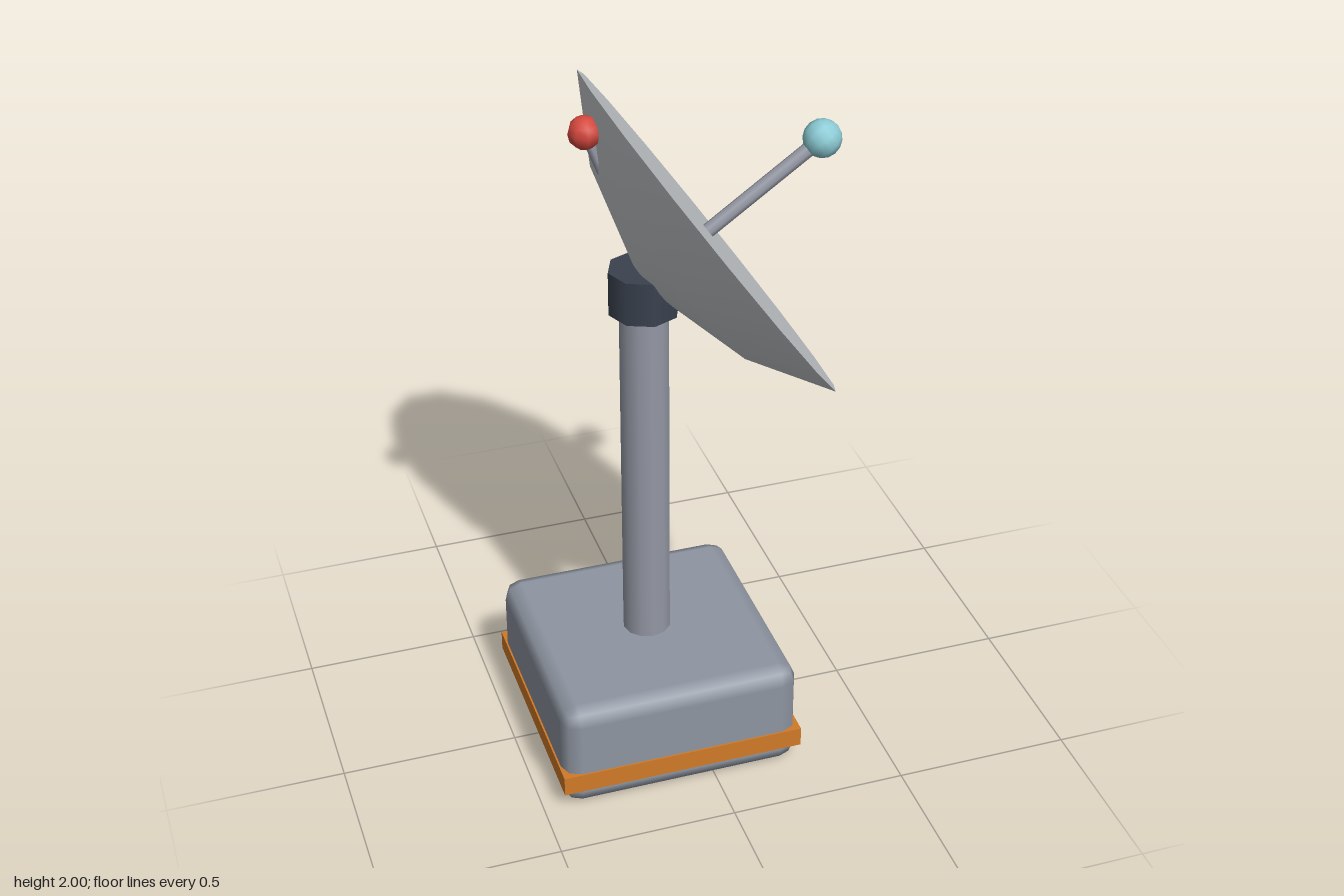
import * as THREE from 'three';
import { RoundedBoxGeometry } from 'three/addons/geometries/RoundedBoxGeometry.js';

const material = (name, color) => {
  const m = new THREE.MeshStandardMaterial({ color });
  m.name = name;
  return m;
};

export function createModel() {
  const root = new THREE.Group();
  root.name = 'satelliteDish';

  const casing = material('casing grey', 0x8e95a1);
  const metal = material('metal grey', 0x9498a4);
  const dark = material('dark slate', 0x3a424f);
  const pale = material('pale grey', 0xc4c8cb);
  const orange = material('orange', 0xd07a28);
  const teal = material('pale teal', 0x8ccbd5);
  const red = material('red', 0xd4483e);

  const add = (parent, name, geometry, mat, x = 0, y = 0, z = 0) => {
    const mesh = new THREE.Mesh(geometry, mat);
    mesh.name = name;
    mesh.position.set(x, y, z);
    parent.add(mesh);
    return mesh;
  };

  // Base, painted band, mast and collar share one vertical axis
  const axisX = -0.097;
  add(root, 'base', new RoundedBoxGeometry(0.686, 0.325, 0.686, 1, 0.05), casing, axisX, 0.1625);
  add(root, 'baseBand', new THREE.BoxGeometry(0.696, 0.058, 0.696), orange, axisX, 0.087);
  add(root, 'mast', new THREE.CylinderGeometry(0.068, 0.068, 1.1, 12), metal, axisX, 0.86);
  add(root, 'collar', new THREE.CylinderGeometry(0.097, 0.097, 0.125, 8), dark, axisX, 1.418);

  // Tilted dish: local +y points out of the dish face
  const dish = new THREE.Group();
  dish.name = 'dish';
  dish.position.set(0.08, 1.56, 0);
  dish.rotation.z = -0.957;
  root.add(dish);

  const profile = [[0, -0.21], [0.06, -0.206], [0.325, -0.131], [0.538, 0]]
    .map(([r, y]) => new THREE.Vector2(r, y));
  add(dish, 'dishBack', new THREE.LatheGeometry(profile, 16), pale);
  add(dish, 'dishFace', new THREE.CircleGeometry(0.538, 16).rotateX(-Math.PI / 2), pale);

  // Receiver on its arm
  add(dish, 'receiverArm', new THREE.CylinderGeometry(0.02, 0.02, 0.38, 8), metal, 0, 0.19);
  add(dish, 'receiver', new THREE.SphereGeometry(0.052, 10, 8), teal, 0, 0.38);

  // Warning lamp on a short stem behind the upper rim
  const lamp = new THREE.Vector3(-0.248, 1.889, 0);
  const foot = new THREE.Vector3(-0.195, 1.75, 0);
  const stem = add(root, 'lampStem',
    new THREE.CylinderGeometry(0.014, 0.014, lamp.distanceTo(foot), 6), metal);
  stem.position.copy(lamp).add(foot).multiplyScalar(0.5);
  stem.quaternion.setFromUnitVectors(
    new THREE.Vector3(0, 1, 0), lamp.clone().sub(foot).normalize());
  add(root, 'warningLamp', new THREE.SphereGeometry(0.044, 8, 6), red, lamp.x, lamp.y, lamp.z);

  return root;
}
